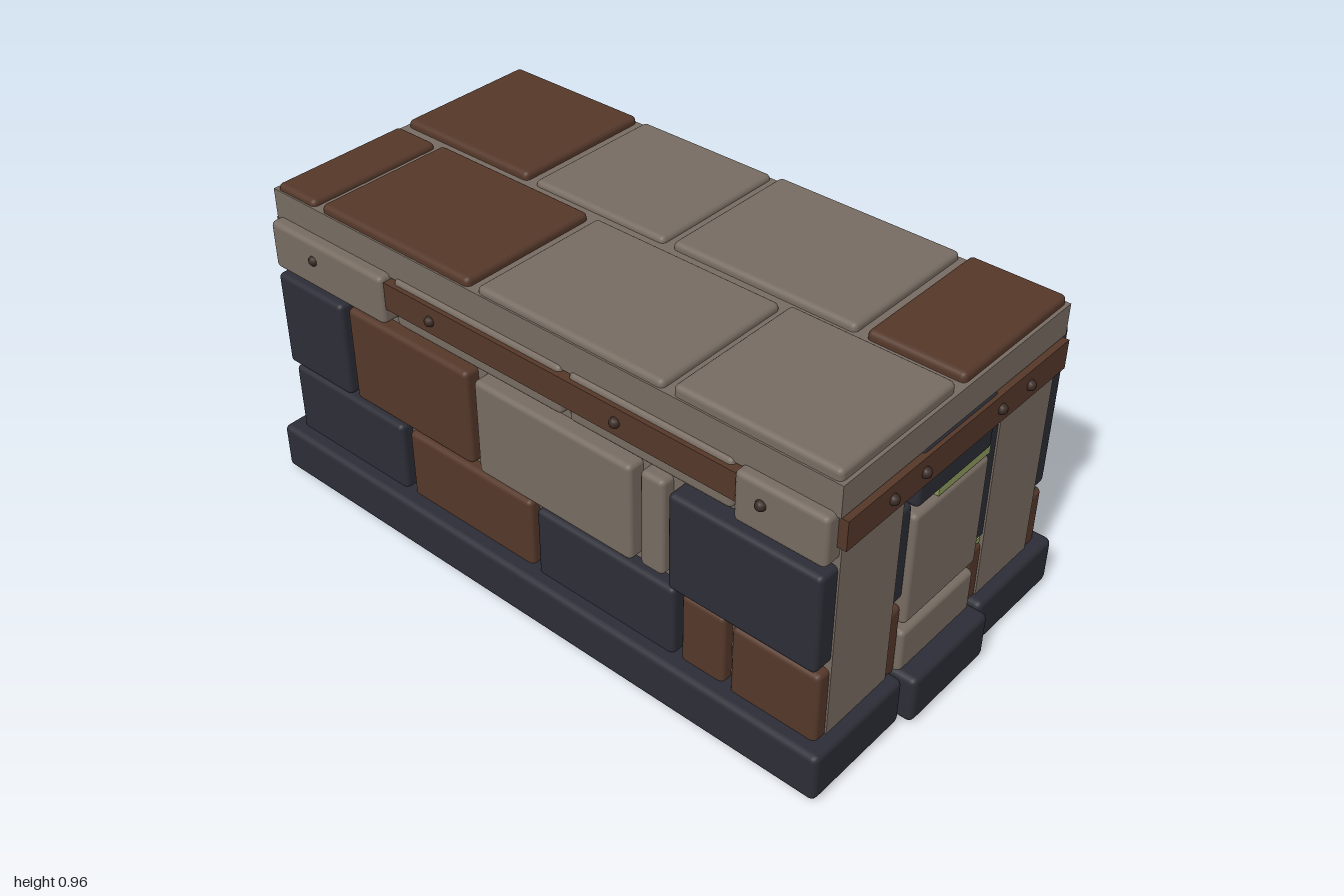
import * as THREE from 'three';
import { RoundedBoxGeometry } from 'three/addons/geometries/RoundedBoxGeometry.js';

const makeMaterial = (name, color) => {
  const m = new THREE.MeshStandardMaterial({ color });
  m.name = name;
  return m;
};

export function createModel() {
  const root = new THREE.Group();
  root.name = 'stoneChest';
  const taupe = makeMaterial('taupeStone', 0x776c62);
  const brown = makeMaterial('brownStone', 0x55382a);
  const navy = makeMaterial('darkStone', 0x2c2d36);
  const rust = makeMaterial('rivetMetal', 0x3a2a24);
  const moss = makeMaterial('moss', 0x8c9a5c);

  const group = (name) => {
    const g = new THREE.Group();
    g.name = name;
    root.add(g);
    return g;
  };

  // Box given by its min and max on each axis; a radius rounds the edges
  const block = (parent, name, mat, x0, x1, y0, y1, z0, z1, radius = 0) => {
    const size = [x1 - x0, y1 - y0, z1 - z0];
    const geo = radius ? new RoundedBoxGeometry(...size, 2, radius) : new THREE.BoxGeometry(...size);
    const mesh = new THREE.Mesh(geo, mat);
    mesh.name = name;
    mesh.position.set((x0 + x1) / 2, (y0 + y1) / 2, (z0 + z1) / 2);
    parent.add(mesh);
  };

  // Base: two long slabs and two end stones around an open middle
  const base = group('base');
  for (const s of [-1, 1]) {
    const z = [0.17 * s, 0.525 * s].sort((a, b) => a - b);
    block(base, 'longSlab', navy, -0.97, 0.97, 0.01, 0.157, ...z, 0.018);
    const x = [0.66 * s, 1.0 * s].sort((a, b) => a - b);
    block(base, 'endSlab', navy, ...x, 0.01, 0.157, -0.165, 0.165, 0.018);
  }

  // Mortar cores of the front and back walls
  const walls = group('wallCores');
  block(walls, 'frontCore', taupe, -0.935, 0.935, 0.008, 0.85, 0.2, 0.44);
  block(walls, 'backCore', taupe, -0.935, 0.935, 0.008, 0.85, -0.44, -0.2);

  // Rows of bricks: [x0, x1, material, outer z]
  const wallRow = (parent, y0, y1, side, bricks) => {
    for (const [x0, x1, mat, z] of bricks) {
      const zs = [0.15 * side, z * side].sort((a, b) => a - b);
      block(parent, 'brick', mat, x0, x1, y0, y1, ...zs, 0.015);
    }
  };
  const front = group('frontBricks');
  wallRow(front, 0.14, 0.367, 1, [
    [-0.93, -0.485, navy, 0.48], [-0.46, 0, brown, 0.475], [0.025, 0.49, navy, 0.48],
    [0.51, 0.645, brown, 0.475], [0.67, 0.93, brown, 0.48],
  ]);
  wallRow(front, 0.39, 0.685, 1, [
    [-0.93, -0.67, navy, 0.495], [-0.655, -0.2, brown, 0.485], [-0.17, 0.36, taupe, 0.49],
    [0.38, 0.455, taupe, 0.48], [0.485, 0.93, navy, 0.5],
  ]);
  wallRow(front, 0.705, 0.85, 1, [
    [-0.93, -0.49, taupe, 0.495], [-0.47, 0.12, taupe, 0.47],
    [0.145, 0.65, taupe, 0.47], [0.67, 0.93, taupe, 0.492],
  ]);
  const back = group('backBricks');
  wallRow(back, 0.14, 0.33, -1, [
    [0.46, 0.93, brown, 0.495], [-0.12, 0.435, taupe, 0.485],
    [-0.635, -0.15, taupe, 0.49], [-0.93, -0.66, navy, 0.48],
  ]);
  wallRow(back, 0.35, 0.85, -1, [
    [0.67, 0.93, navy, 0.497], [0.27, 0.645, taupe, 0.465], [-0.26, 0.25, taupe, 0.475],
    [-0.46, -0.28, taupe, 0.468], [-0.93, -0.48, taupe, 0.497],
  ]);

  // Stacked stones closing each end
  const ends = group('endStones');
  for (const [y0, y1, mat] of [[0.14, 0.28, taupe], [0.305, 0.65, taupe], [0.672, 0.845, navy]])
    block(ends, 'rightEndStone', mat, 0.62, 0.945, y0, y1, -0.157, 0.157, 0.015);
  for (const [y0, y1, mat] of [[0.14, 0.335, brown], [0.355, 0.63, taupe], [0.652, 0.845, taupe]])
    block(ends, 'leftEndStone', mat, -0.945, -0.62, y0, y1, -0.157, 0.157, 0.015);

  // Lid core and its paving
  const lid = group('lid');
  block(lid, 'lidCore', taupe, -0.94, 0.94, 0.84, 0.93, -0.46, 0.46);
  const tiles = [
    [-0.93, -0.78, brown, 0.948], [-0.75, -0.2, brown, 0.953],
    [-0.17, 0.43, taupe, 0.95], [0.46, 0.93, taupe, 0.96],
  ];
  for (const [x0, x1, mat, top] of tiles)
    block(lid, 'frontTile', mat, x0, x1, 0.88, top, 0.022, 0.455, 0.015);
  const backTiles = [
    [-0.93, -0.46, brown, 0.953], [-0.43, 0.025, taupe, 0.947],
    [0.055, 0.625, taupe, 0.952], [0.655, 0.93, brown, 0.955],
  ];
  for (const [x0, x1, mat, top] of backTiles)
    block(lid, 'backTile', mat, x0, x1, 0.88, top, -0.457, -0.012, 0.015);

  // Straps under the lid, with rivets
  const straps = group('straps');
  const rivet = (x, y, z) => {
    const m = new THREE.Mesh(new THREE.SphereGeometry(0.015, 10, 8), rust);
    m.name = 'rivet';
    m.position.set(x, y, z);
    straps.add(m);
  };
  block(straps, 'frontStrap', brown, -0.92, 0.92, 0.753, 0.835, 0.44, 0.483);
  block(straps, 'backStrap', brown, -0.92, 0.92, 0.753, 0.835, -0.483, -0.44);
  for (const s of [-1, 1]) {
    const x = [0.92 * s, 0.955 * s].sort((a, b) => a - b);
    block(straps, 'endStrap', brown, ...x, 0.75, 0.835, -0.452, 0.452);
    for (const z of [-0.282, -0.156, 0.158, 0.283]) rivet(0.957 * s, 0.793, z);
  }
  for (const x of [-0.76, 0.75]) rivet(x, 0.793, 0.493);
  for (const x of [-0.32, 0.31]) rivet(x, 0.793, 0.485);
  for (const x of [-0.3, 0.34]) rivet(x, 0.793, -0.485);
  rivet(-0.73, 0.793, -0.497);

  // Moss in the joints
  const mossy = group('moss');
  block(mossy, 'jointMoss', moss, 0.7, 0.94, 0.652, 0.676, -0.158, 0.06);
  block(mossy, 'jointMoss', moss, 0.72, 0.925, 0.332, 0.347, -0.465, -0.16);
  block(mossy, 'jointMoss', moss, -0.92, -0.72, 0.632, 0.65, -0.06, 0.157);
  block(mossy, 'jointMoss', moss, -0.9, -0.66, 0.328, 0.35, -0.475, -0.3);

  // Moss patches under the base: [x, z, length x, length z]
  const patches = [
    [0.2, -0.32, 0.09, 0.05], [-0.42, 0.46, 0.1, 0.05], [-0.08, 0.46, 0.1, 0.05],
    [0.67, 0.46, 0.08, 0.05], [-0.14, 0.19, 0.11, 0.05], [-0.37, 0.19, 0.14, 0.05],
    [0.56, 0.19, 0.1, 0.05], [0.8, 0.18, 0.12, 0.05], [0.73, 0, 0.05, 0.22],
    [-0.73, 0, 0.05, 0.22], [-0.75, -0.19, 0.1, 0.05], [-0.7, -0.44, 0.08, 0.04],
  ];
  for (const [x, z, w, d] of patches)
    block(mossy, 'baseMoss', moss, x - w / 2, x + w / 2, 0, 0.02, z - d / 2, z + d / 2);

  return root;
}
